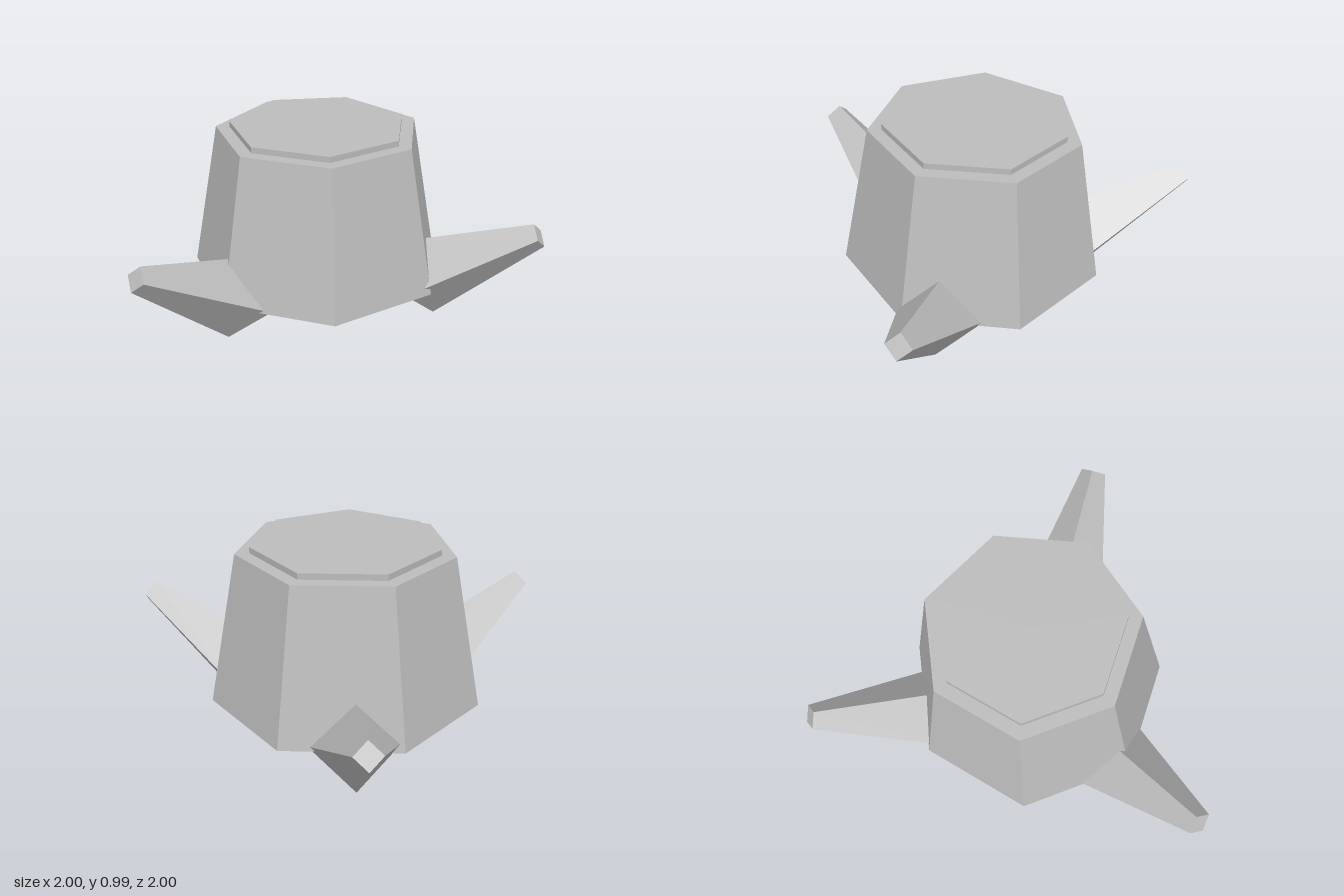
import * as THREE from 'three';

export function createModel() {
  const model = new THREE.Group();
  const gray = new THREE.MeshStandardMaterial({ color: 0xbcbcbc, flatShading: true });
  gray.name = 'gray';

  const stump = new THREE.Group();
  stump.name = 'stump';
  stump.position.set(-0.14, 0, -0.14);
  model.add(stump);

  // Seven-sided frustum with a corner pointing to +x
  function addFrustum(name, topR, bottomR, y0, y1) {
    const geometry = new THREE.CylinderGeometry(topR, bottomR, y1 - y0, 7, 1, false, Math.PI / 2);
    const mesh = new THREE.Mesh(geometry, gray);
    mesh.name = name;
    mesh.position.y = (y0 + y1) / 2;
    stump.add(mesh);
  }
  addFrustum('trunk', 0.531, 0.671, 0.203, 0.966);
  addFrustum('cutTop', 0.46, 0.46, 0.96, 0.996);

  // Three tapered diamond-section roots, 120 degrees apart, tips raised
  const tilt = THREE.MathUtils.degToRad(28);
  const length = 0.7;
  const rootGeometry = new THREE.CylinderGeometry(0.065, 0.22, length, 4, 1);
  rootGeometry.translate(0, length / 2, 0);
  const roots = [['leftRoot', -15], ['frontRoot', 105], ['backRoot', 225]];
  for (const [name, degrees] of roots) {
    const pivot = new THREE.Group();
    pivot.name = name;
    pivot.rotation.y = -THREE.MathUtils.degToRad(degrees);
    const root = new THREE.Mesh(rootGeometry, gray);
    root.name = name + 'Wood';
    root.position.set(0.53, 0.197, 0);
    root.rotation.z = tilt - Math.PI / 2;
    pivot.add(root);
    stump.add(pivot);
  }
  return model;
}
